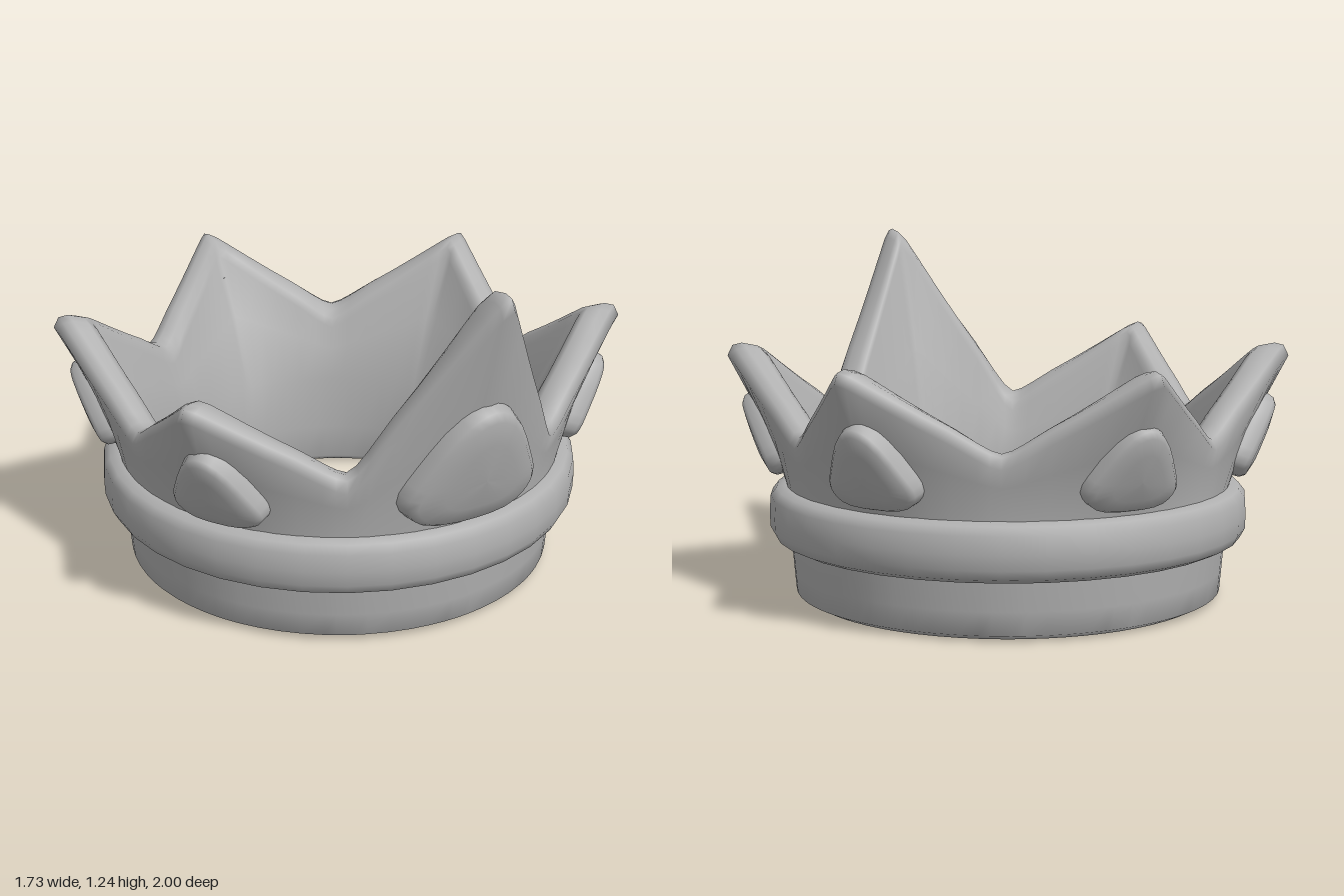
import * as THREE from 'three';

const DEG = Math.PI / 180;

// Indexed surface from a grid of rows; closeRows joins the last row to the first
function loft(rows, closeRows) {
  const n = rows[0].length, m = rows.length, idx = [];
  for (let i = 0; i < (closeRows ? m : m - 1); i++) {
    for (let j = 0; j < n; j++) {
      const a = i * n + j, b = ((i + 1) % m) * n + j;
      const c = ((i + 1) % m) * n + (j + 1) % n, d = i * n + (j + 1) % n;
      idx.push(a, b, c, a, c, d);
    }
  }
  const g = new THREE.BufferGeometry();
  g.setAttribute('position', new THREE.Float32BufferAttribute(rows.flat(2), 3));
  g.setIndex(idx);
  g.computeVertexNormals();
  return g;
}

// Peaks around the rim: angle from the front, outer radius, height
const peaks = [
  { a: 0, r: 1, y: 1.24 }, { a: 61.5, r: 0.985, y: 0.88 }, { a: 118.5, r: 0.985, y: 0.88 },
  { a: 180, r: 1, y: 0.88 }, { a: 241.5, r: 0.985, y: 0.88 }, { a: 298.5, r: 0.985, y: 0.88 },
];
const VALLEY = { r: 0.81, y: 0.61 };
// Distance from peak to valley, and the height left at that distance
const SLOPE = [[0, 1], [0.07, 0.95], [0.15, 0.865], [0.32, 0.68], [0.5, 0.49], [0.68, 0.31], [0.85, 0.12], [0.93, 0.04], [1, 0]];

const onCircle = (deg, r) => new THREE.Vector2(Math.sin(deg * DEG) * r, Math.cos(deg * DEG) * r);

// Closed cross-section of the wall at one place on the rim
function section(peak, valleyAngle, s, f) {
  const out = onCircle(peak.a, peak.r).lerp(onCircle(valleyAngle, VALLEY.r), s);
  const inn = onCircle(peak.a, peak.r - 0.14).lerp(onCircle(valleyAngle, 0.685), s);
  const ro = out.length(), ri = inn.length();
  const y = VALLEY.y + (peak.y - VALLEY.y) * f;
  const mid = 0.4 + (y - 0.4) * 0.5;
  const profile = [
    [0.64, 0], [0.71, 0], [0.75, 0.02], [0.757, 0.1], [0.765, 0.2], [0.78, 0.4],
    [(0.78 + ro) / 2, mid], [ro, y - 0.045], [ro - 0.018, y - 0.008], [ro - 0.05, y],
    [ri + 0.035, y - 0.01], [ri + 0.005, y - 0.035], [ri, y - 0.07],
    [(0.625 + ri) / 2, mid - 0.04], [0.625, 0.35], [0.612, 0.15], [0.612, 0.025],
  ];
  const dir = out.divideScalar(ro);
  return profile.map(([r, h]) => [dir.x * r, h, dir.y * r]);
}

function wallGeometry() {
  const rows = [];
  peaks.forEach((p, i) => {
    const before = i * 60 - 30, after = i * 60 + 30;
    // Valley up to the peak, then down to the next valley
    [...SLOPE].reverse().forEach(([s, f]) => rows.push(section(p, before, s, f)));
    SLOPE.slice(1, -1).forEach(([s, f]) => rows.push(section(p, after, s, f)));
  });
  return loft(rows, true);
}

// Rounded triangular stone, domed towards +z, wrapped back at the sides
function gemGeometry(halfWidth, height, depth) {
  const outline = [[0, 0], [0.75, 0.04], [1, 0.2], [0.82, 0.48], [0.36, 0.9], [0, 1], [-0.36, 0.9], [-0.82, 0.48], [-1, 0.2], [-0.75, 0.04]];
  const curve = new THREE.CatmullRomCurve3(outline.map(([u, v]) => new THREE.Vector3(u * halfWidth, (v - 0.42) * height, 0)), true);
  const pts = curve.getPoints(30).slice(0, 30);
  const rings = [[0.97, -0.11], [1, -0.015], [0.96, depth * 0.45], [0.86, depth * 0.8], [0.55, depth], [0.001, depth * 1.05]];
  return loft(rings.map(([k, z]) => pts.map((p) => [p.x * k, p.y * k, z - 0.5 * (p.x * k) ** 2])).reverse(), false);
}

export function createModel() {
  const crown = new THREE.Group();
  crown.name = 'crown';
  const grey = new THREE.MeshStandardMaterial({ color: 0xb0b0b0 });
  grey.name = 'grey';

  const add = (name, geometry, parent = crown) => {
    const mesh = new THREE.Mesh(geometry, grey);
    mesh.name = name;
    parent.add(mesh);
    return mesh;
  };

  // Base ring and pointed wall in one shell
  add('pointedWall', wallGeometry());

  // Rounded band around the wall
  const band = [[0.74, 0.2], [0.785, 0.2], [0.82, 0.217], [0.838, 0.25], [0.84, 0.3], [0.836, 0.36], [0.815, 0.387], [0.78, 0.398], [0.74, 0.398]];
  add('band', new THREE.LatheGeometry(band.map(([r, y]) => new THREE.Vector2(r, y)), 36));

  // One stone below every peak, leaning out with the wall
  const bigGem = gemGeometry(0.258, 0.45, 0.055);
  const smallGem = gemGeometry(0.172, 0.31, 0.045);
  peaks.forEach((p, i) => {
    const holder = new THREE.Group();
    holder.name = i === 0 ? 'frontGem' : 'gem' + i;
    holder.rotation.y = i * 60 * DEG;
    crown.add(holder);
    const stone = add('stone', i === 0 ? bigGem : smallGem, holder);
    stone.position.set(0, i === 0 ? 0.6 : 0.54, i === 0 ? 0.835 : 0.843);
    stone.rotation.x = i === 0 ? 0.27 : 0.42;
  });
  return crown;
}
